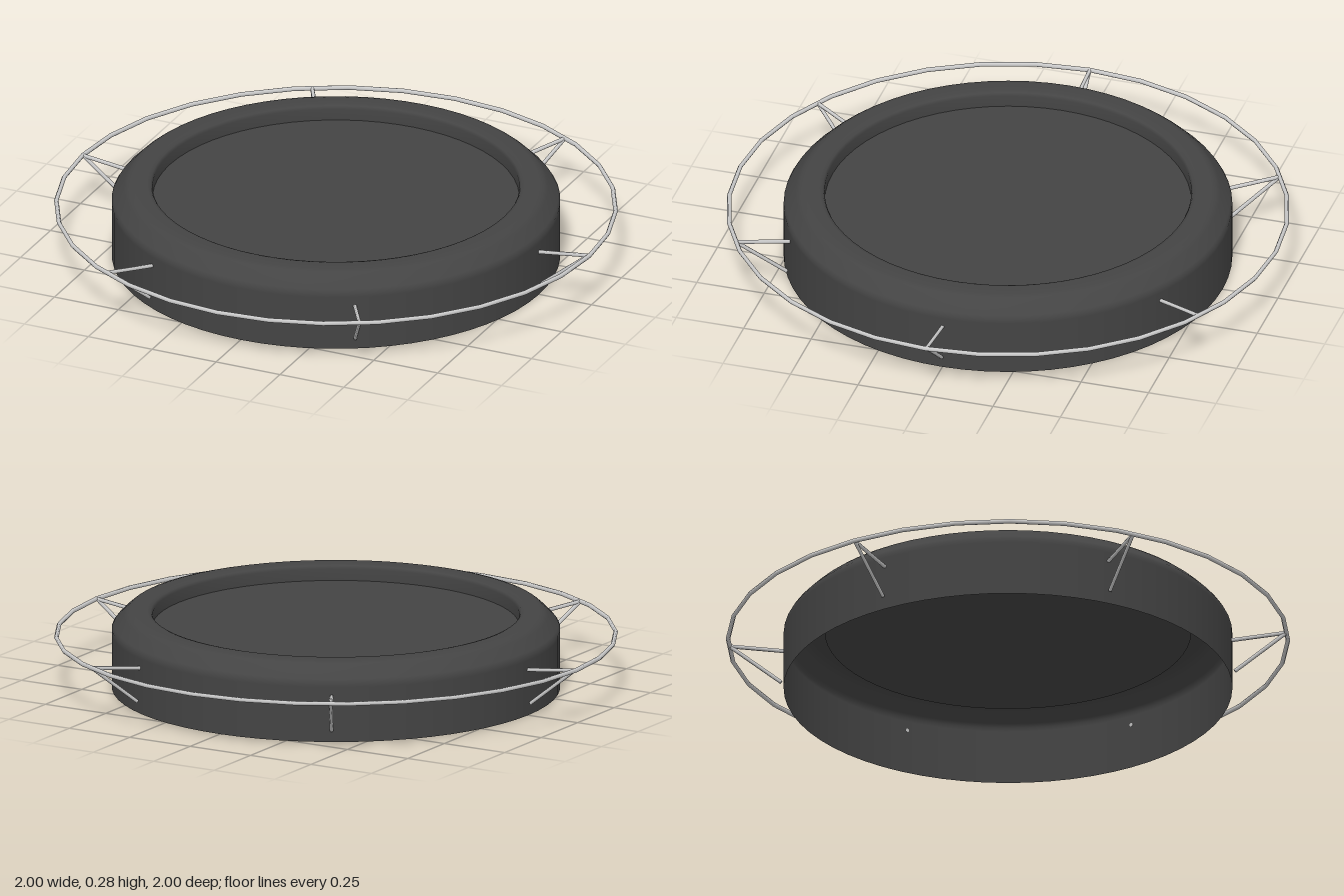
import * as THREE from 'three';

export function createModel() {
  const model = new THREE.Group();
  const dark = new THREE.MeshStandardMaterial({ color: 0x444444, side: THREE.DoubleSide });
  const grey = new THREE.MeshStandardMaterial({ color: 0xcccccc });

  const add = (name, geometry, material, parent = model) => {
    const mesh = new THREE.Mesh(geometry, material);
    mesh.name = name;
    parent.add(mesh);
    return mesh;
  };

  // Hollow body open underneath: wall, rounded chamfer, rim and recess wall
  const profile = [
    [0.795, 0], [0.795, 0.2], [0.795, 0.215], [0.787, 0.228], [0.752, 0.263],
    [0.738, 0.274], [0.72, 0.279], [0.67, 0.279], [0.656, 0.275], [0.65, 0.264], [0.65, 0.222],
  ].map(([r, y]) => new THREE.Vector2(r, y));
  add('bodyShell', new THREE.LatheGeometry(profile, 64), dark);

  // Flat floor of the recess
  const floor = add('recessFloor', new THREE.CircleGeometry(0.65, 64), dark);
  floor.rotation.x = -Math.PI / 2;
  floor.position.y = 0.222;

  // Thin hoop around the body
  const hoop = add('hoop', new THREE.TorusGeometry(0.992, 0.008, 6, 32), grey);
  hoop.rotation.x = Math.PI / 2;
  hoop.position.y = 0.19;

  // Straight rod between two points
  const rod = (name, a, b, parent) => {
    const dir = b.clone().sub(a);
    const mesh = add(name, new THREE.CylinderGeometry(0.007, 0.007, dir.length(), 6), grey, parent);
    mesh.position.copy(a).add(b).multiplyScalar(0.5);
    mesh.quaternion.setFromUnitVectors(new THREE.Vector3(0, 1, 0), dir.normalize());
  };

  // Six V-shaped brackets joining the hoop to the body
  for (let i = 0; i < 6; i++) {
    const bracket = new THREE.Group();
    bracket.name = `bracket${i + 1}`;
    const tip = new THREE.Vector3(0.988, 0.19, 0);
    rod('upperStrut', new THREE.Vector3(0.793, 0.166, 0), tip, bracket);
    rod('lowerStrut', new THREE.Vector3(0.805, 0.045, 0), tip, bracket);
    bracket.rotation.y = (i * Math.PI) / 3;
    model.add(bracket);
  }
  return model;
}
